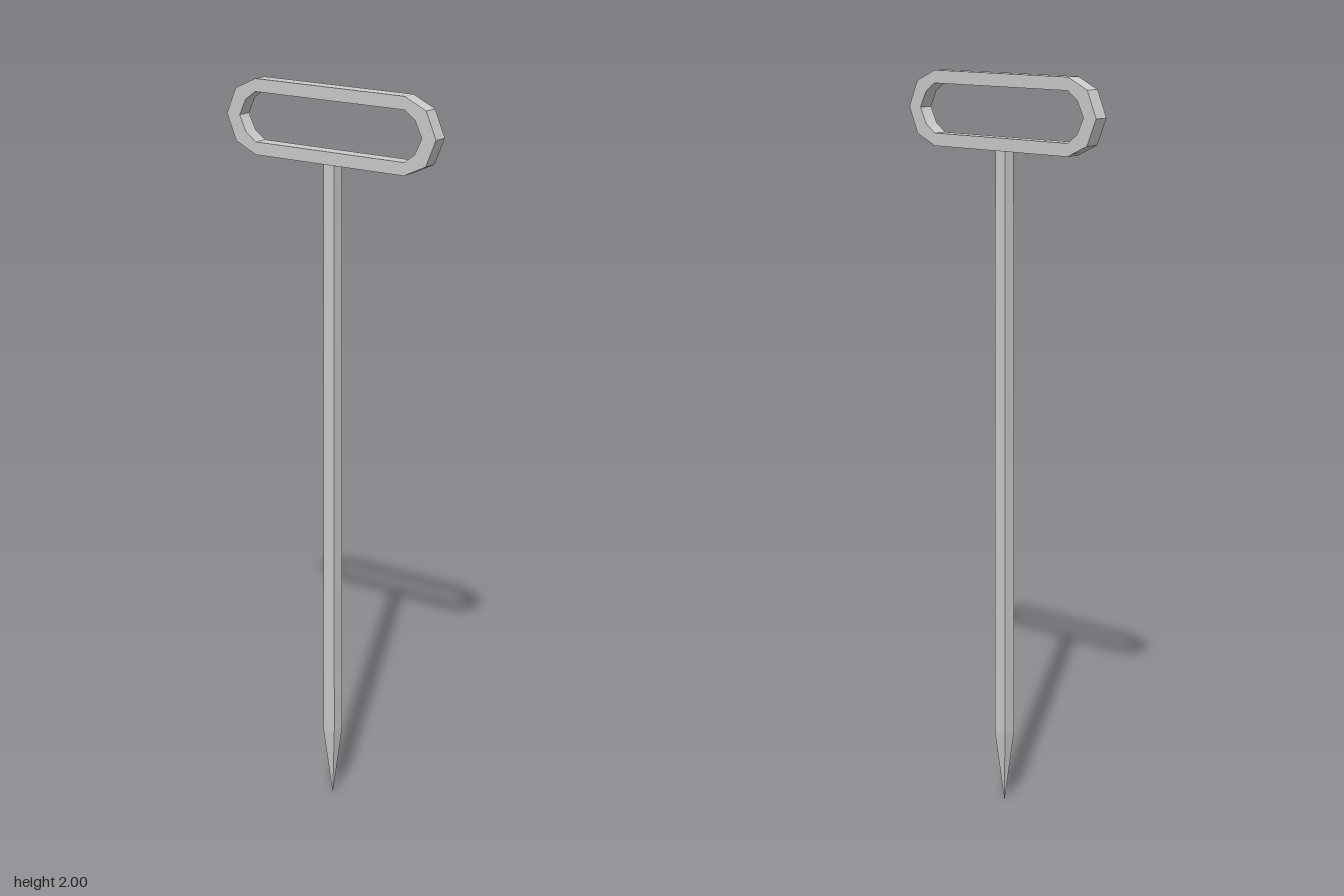
import * as THREE from 'three';
import { toCreasedNormals } from 'three/addons/utils/BufferGeometryUtils.js';

const HALF_WIDTH = 0.02;
const CENTER_Y = 1.9;

// Mirrors quarter-loop points (z, height) into a full closed loop
function loopPoints(quarter) {
  const upper = quarter.map(([z, y]) => new THREE.Vector2(z, y));
  const left = quarter.slice().reverse().map(([z, y]) => new THREE.Vector2(-z, y));
  const half = [...upper, ...left];
  const lower = half.slice(1, -1).reverse().map((p) => new THREE.Vector2(p.x, -p.y));
  return [...half, ...lower];
}

// Four-sided bar between two heights, faces square to the axes
function squareBar(topHalf, bottomHalf, y0, y1) {
  const g = new THREE.CylinderGeometry(
    topHalf * Math.SQRT2, bottomHalf * Math.SQRT2, y1 - y0, 4, 1, false, Math.PI / 4);
  g.translate(0, (y0 + y1) / 2, 0);
  return toCreasedNormals(g, 0.1);
}

export function createModel() {
  const group = new THREE.Group();
  const metal = new THREE.MeshStandardMaterial({ color: 0xcccccc });
  metal.name = 'light grey metal';

  const add = (name, geometry) => {
    const mesh = new THREE.Mesh(geometry, metal);
    mesh.name = name;
    group.add(mesh);
  };

  // Handle: elongated faceted ring lying in the z-y plane
  const ring = new THREE.Shape(loopPoints([[0.33, 0], [0.30, 0.07], [0.235, 0.1]]));
  ring.holes.push(new THREE.Path(loopPoints([[0.288, 0], [0.267, 0.043], [0.235, 0.066]])));
  const handle = new THREE.ExtrudeGeometry(ring, { depth: HALF_WIDTH * 2, bevelEnabled: false });
  handle.translate(0, 0, -HALF_WIDTH);
  handle.rotateY(-Math.PI / 2);
  handle.translate(0, CENTER_Y, 0);
  add('handle', toCreasedNormals(handle, 0.6));

  // Shaft, widening slightly toward the point
  add('shaft', squareBar(0.017, 0.019, 0.2, 1.81));

  // Sharpened point
  add('tip', squareBar(0.019, 0.0005, 0, 0.2));

  return group;
}
